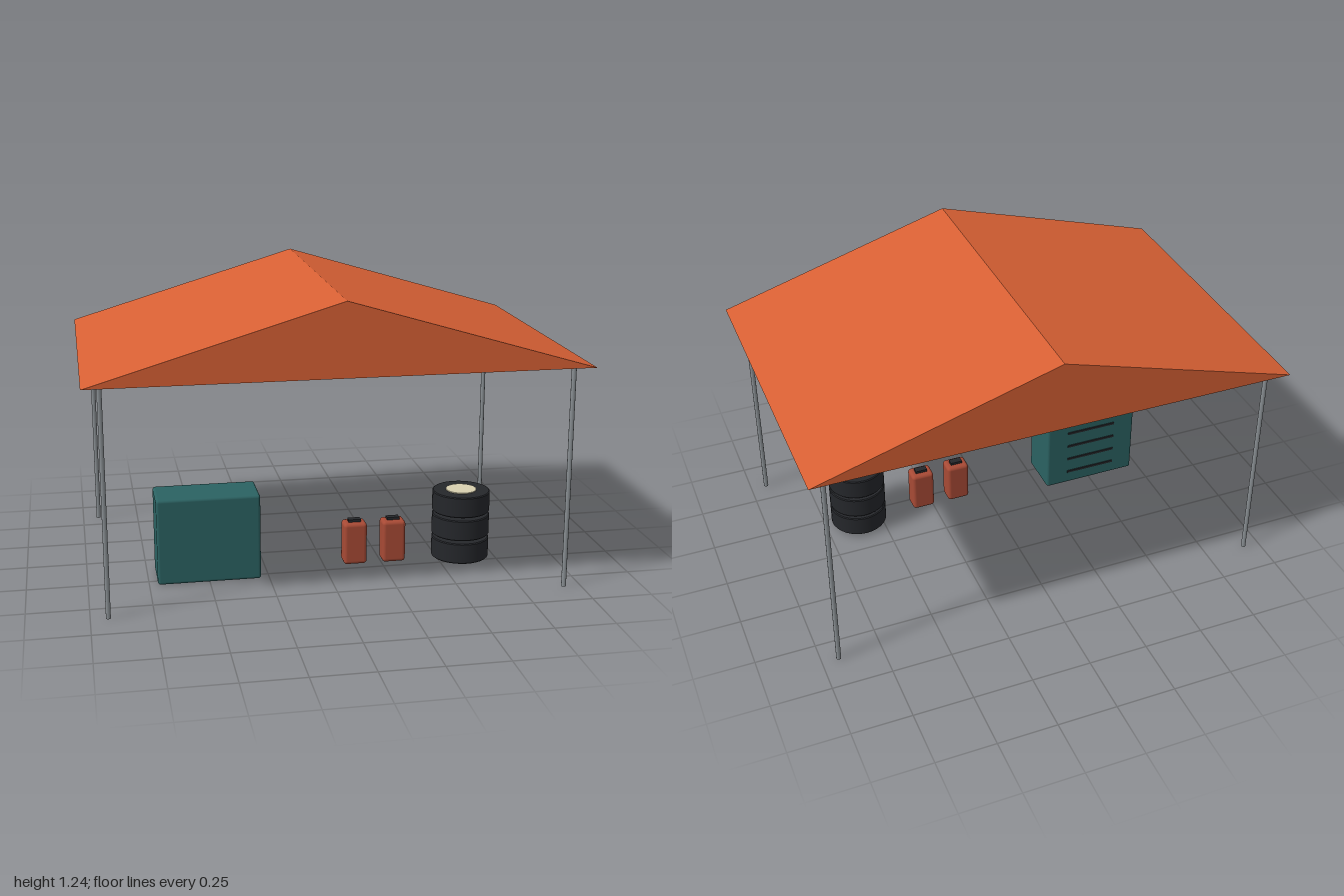
import * as THREE from 'three';
import { RoundedBoxGeometry } from 'three/addons/geometries/RoundedBoxGeometry.js';

const mat = (color, extra = {}) => new THREE.MeshStandardMaterial({ color, ...extra });

export function createModel() {
  const model = new THREE.Group();
  const orange = mat(0xd86034, { side: THREE.DoubleSide, flatShading: true });
  const steel = mat(0x8a9094);
  const teal = mat(0x2b6262);
  const dark = mat(0x25272b);
  const red = mat(0xa84a35);
  const cream = mat(0xd8d0b0);

  const add = (name, geometry, material, x, y, z, parent = model) => {
    const mesh = new THREE.Mesh(geometry, material);
    mesh.name = name;
    mesh.position.set(x, y, z);
    parent.add(mesh);
    return mesh;
  };

  // Canopy: two slopes and two gables, open underneath
  const W = 1, D = 0.667, eave = 0.937, ridge = 1.235;
  const canopy = new THREE.BufferGeometry();
  canopy.setAttribute('position', new THREE.Float32BufferAttribute([
    -W, eave, D, W, eave, D, 0, ridge, D,
    -W, eave, -D, W, eave, -D, 0, ridge, -D,
  ], 3));
  canopy.setIndex([0, 1, 2, 4, 3, 5, 1, 4, 5, 1, 5, 2, 3, 0, 2, 3, 2, 5]);
  const canopyFlat = canopy.toNonIndexed();
  canopyFlat.computeVertexNormals();
  add('canopy', canopyFlat, orange, 0, 0, 0);

  // Corner posts
  const post = new THREE.CylinderGeometry(0.01, 0.01, 0.94, 10);
  for (const x of [-0.93, 0.93]) for (const z of [-0.6, 0.6]) add('post', post, steel, x, 0.47, z);

  // Cabinet with vent slats on its back
  const cabinet = new THREE.Group();
  cabinet.name = 'cabinet';
  model.add(cabinet);
  add('cabinetBody', new RoundedBoxGeometry(0.43, 0.367, 0.2, 3, 0.012), teal, -0.5, 0.1835, 0.2, cabinet);
  const slat = new THREE.BoxGeometry(0.23, 0.01, 0.008);
  for (let i = 0; i < 4; i++) add('ventSlat', slat, dark, -0.5, 0.065 + i * 0.073, 0.099, cabinet);

  // Fuel cans
  const canBody = new RoundedBoxGeometry(0.1, 0.183, 0.08, 3, 0.015);
  const canCap = new THREE.BoxGeometry(0.053, 0.016, 0.03);
  for (const x of [0.13, 0.298]) {
    const can = new THREE.Group();
    can.name = 'fuelCan';
    can.position.set(x, 0, 0.2);
    model.add(can);
    add('canBody', canBody, red, 0, 0.1025, 0, can);
    add('canCap', canCap, dark, 0, 0.197, 0, can);
  }

  // Stack of tyres, each a solid drum with slightly bevelled shoulders
  const R = 0.123, h = 0.045, b = 0.004;
  const tyre = new THREE.LatheGeometry([
    [0, -h], [R - b, -h], [R - b, -h], [R, -h + b], [R, -h + b],
    [R, h - b], [R, h - b], [R - b, h], [R - b, h], [0, h],
  ].map(([x, y]) => new THREE.Vector2(x, y)), 32);
  for (let i = 0; i < 3; i++) add('tyre', tyre, dark, 0.598, 0.058 + i * 0.103, 0.202);
  add('hubDisc', new THREE.CylinderGeometry(0.065, 0.065, 0.006, 32), cream, 0.598, 0.31, 0.202);

  return model;
}
